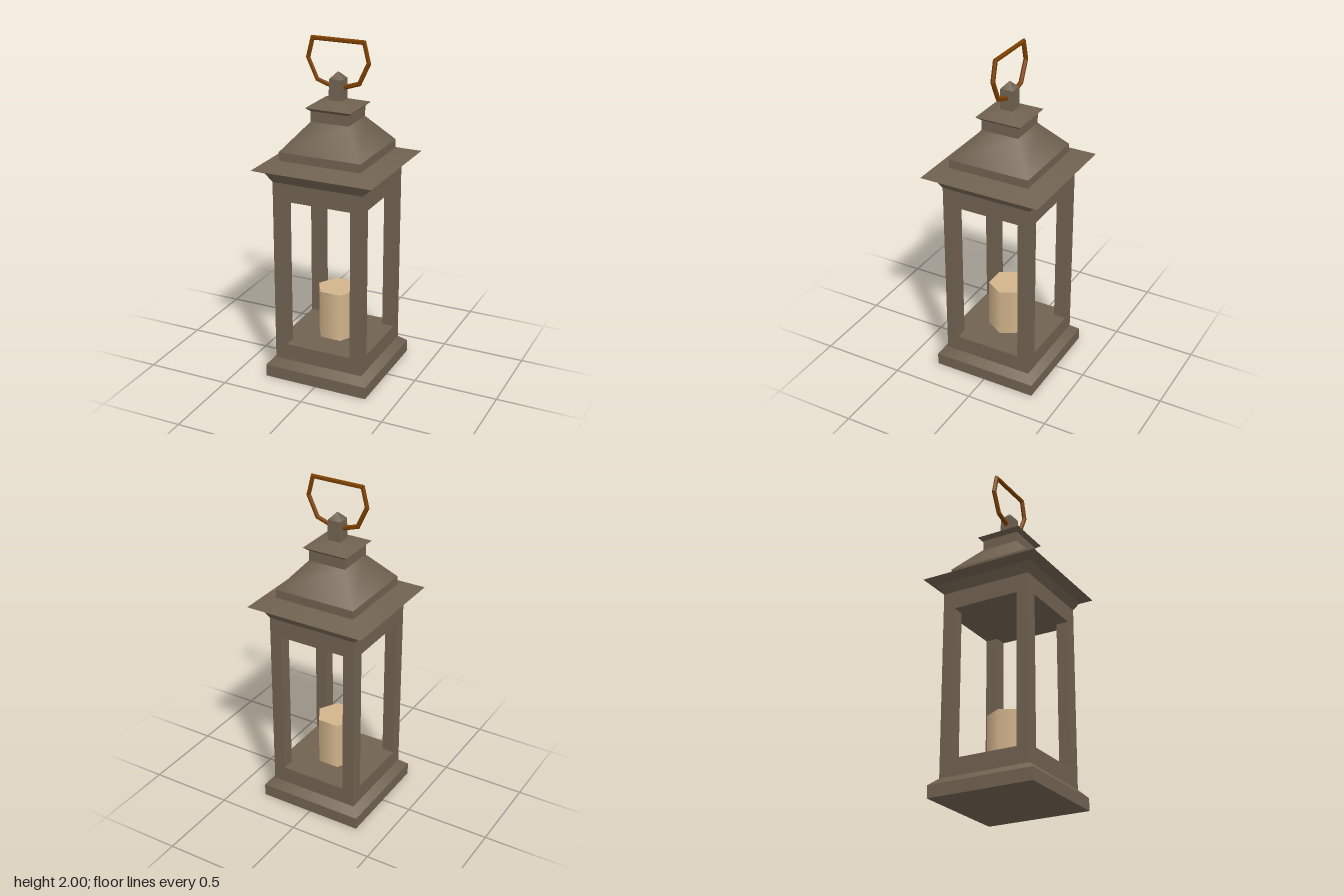
import * as THREE from 'three';

const metal = new THREE.MeshStandardMaterial({ name: 'brownMetal', color: 0x706250 });
const wax = new THREE.MeshStandardMaterial({ name: 'candleWax', color: 0xd2b48c });
const copper = new THREE.MeshStandardMaterial({ name: 'copper', color: 0x7b3f00 });

function add(parent, name, geometry, material, x = 0, y = 0, z = 0) {
  const mesh = new THREE.Mesh(geometry, material);
  mesh.name = name;
  mesh.position.set(x, y, z);
  parent.add(mesh);
  return mesh;
}

// Square frustum between two half widths; sloped ones keep soft corners, upright ones are flat
function band(parent, name, bottom, y0, top, y1) {
  let g = new THREE.CylinderGeometry(top * Math.SQRT2, bottom * Math.SQRT2, y1 - y0, 4);
  g.rotateY(Math.PI / 4);
  if (Math.abs(top - bottom) < 0.01) {
    g = g.toNonIndexed();
    g.computeVertexNormals();
  }
  return add(parent, name, g, metal, 0, (y0 + y1) / 2, 0);
}

// Stack of square bands from [halfWidth, y] pairs
function stack(parent, name, profile) {
  const group = new THREE.Group();
  group.name = name;
  for (let i = 0; i < profile.length - 1; i++) {
    band(group, name + 'Band', ...profile[i], ...profile[i + 1]);
  }
  parent.add(group);
}

// Mitred closed loop of hexagonal bar, following its outer outline
function barLoop(outline, r, sides = 6) {
  const n = outline.length;
  const pos = [], index = [];
  const pts = outline.map(([x, y]) => new THREE.Vector2(x, y));
  pts.forEach((p, i) => {
    const a = p.clone().sub(pts[(i + n - 1) % n]).normalize();
    const b = pts[(i + 1) % n].clone().sub(p).normalize();
    const out = new THREE.Vector2(a.y + b.y, -a.x - b.x).normalize();
    const miter = r / out.dot(new THREE.Vector2(a.y, -a.x));
    for (let k = 0; k < sides; k++) {
      const t = (k / sides) * Math.PI * 2;
      const d = (Math.cos(t) - 1) * miter;
      pos.push(p.x + out.x * d, p.y + out.y * d, Math.sin(t) * r);
      const k2 = (k + 1) % sides, j = (i + 1) % n;
      const A = i * sides + k, B = j * sides + k, C = j * sides + k2, D = i * sides + k2;
      index.push(A, B, C, A, C, D);
    }
  });
  let g = new THREE.BufferGeometry();
  g.setAttribute('position', new THREE.Float32BufferAttribute(pos, 3));
  g.setIndex(index);
  g = g.toNonIndexed();
  g.computeVertexNormals();
  return g;
}

export function createModel() {
  const lantern = new THREE.Group();
  lantern.name = 'lantern';

  // Base plinth and solid lower and upper rails
  stack(lantern, 'base', [[0.32, 0], [0.32, 0.073], [0.275, 0.115], [0.275, 0.215]]);
  band(lantern, 'upperRail', 0.275, 1.11, 0.275, 1.215);

  // Corner posts
  for (const sx of [-1, 1]) for (const sz of [-1, 1]) {
    add(lantern, 'cornerPost', new THREE.BoxGeometry(0.074, 0.895, 0.074), metal,
      sx * 0.238, 0.6625, sz * 0.238);
  }

  // Eaves, roof, neck and cap
  stack(lantern, 'roof', [
    [0.275, 1.215], [0.305, 1.27], [0.363, 1.296], [0.247, 1.335], [0.247, 1.385],
    [0.114, 1.542], [0.114, 1.602], [0.138, 1.622], [0.04, 1.655],
  ]);

  // Finial holding the ring
  stack(lantern, 'finial', [[0.04, 1.65], [0.038, 1.773], [0.002, 1.812]]);

  // Candle
  const candle = new THREE.CylinderGeometry(0.125, 0.125, 0.297, 6);
  candle.rotateY(Math.PI / 2);
  add(lantern, 'candle', candle, wax, 0, 0.3615, 0);

  // Carrying ring
  const ring = [[0, 1.7], [0.137, 1.745], [0.197, 1.873], [0.165, 2],
    [-0.165, 2], [-0.197, 1.873], [-0.137, 1.745]];
  add(lantern, 'carryRing', barLoop(ring, 0.013), copper);

  return lantern;
}
